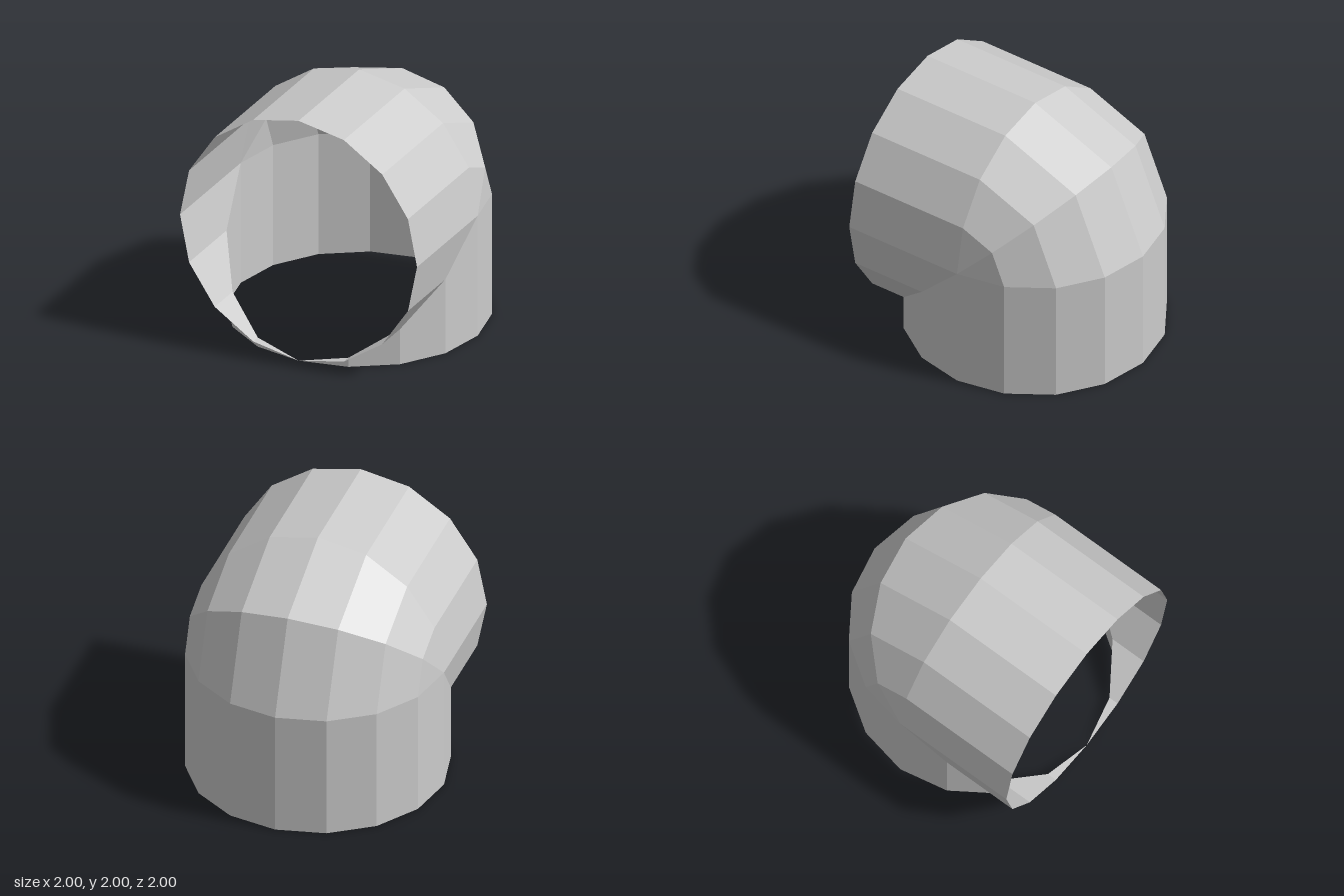
import * as THREE from 'three';

const SIDES = 16;
const K = Math.SQRT1_2;

// Three stations along one arm: open mouth, start of the bend, mitre seam.
// The outer half bends in a facet; the inner half runs straight to the mitre.
function station(i, step) {
  const a = (i % SIDES) * Math.PI * 2 / SIDES;
  const x = Math.cos(a);
  const h = i % (SIDES / 2) === 0 ? 0 : Math.sin(a);
  if (step === 0) return [x, h, 1];
  if (h <= 0) return [x, h, -h];
  return step === 1 ? [x, h, 0] : [x, K * h, -K * h];
}

function armGeometry(vertical) {
  // The vertical arm is the horizontal one reflected across the mitre plane
  const place = ([x, u, w]) => vertical
    ? new THREE.Vector3(x, 1 - w, -u)
    : new THREE.Vector3(x, 1 + u, w);
  const positions = [];
  const addTriangle = (a, b, c) => {
    if (new THREE.Triangle(a, b, c).getArea() < 1e-6) return;
    for (const p of vertical ? [a, c, b] : [a, b, c]) positions.push(p.x, p.y, p.z);
  };
  for (let step = 0; step < 2; step++) {
    for (let i = 0; i < SIDES; i++) {
      const a = place(station(i, step));
      const b = place(station(i + 1, step));
      const c = place(station(i, step + 1));
      const d = place(station(i + 1, step + 1));
      addTriangle(a, c, b);
      addTriangle(b, c, d);
    }
  }
  const geometry = new THREE.BufferGeometry();
  geometry.setAttribute('position', new THREE.Float32BufferAttribute(positions, 3));
  geometry.computeVertexNormals();
  return geometry;
}

export function createModel() {
  const group = new THREE.Group();
  group.name = 'pipeElbow';
  const material = new THREE.MeshStandardMaterial({
    color: 0xcccccc, flatShading: true, side: THREE.DoubleSide,
  });
  for (const [name, vertical] of [['horizontalArm', false], ['verticalArm', true]]) {
    const mesh = new THREE.Mesh(armGeometry(vertical), material);
    mesh.name = name;
    group.add(mesh);
  }
  return group;
}
